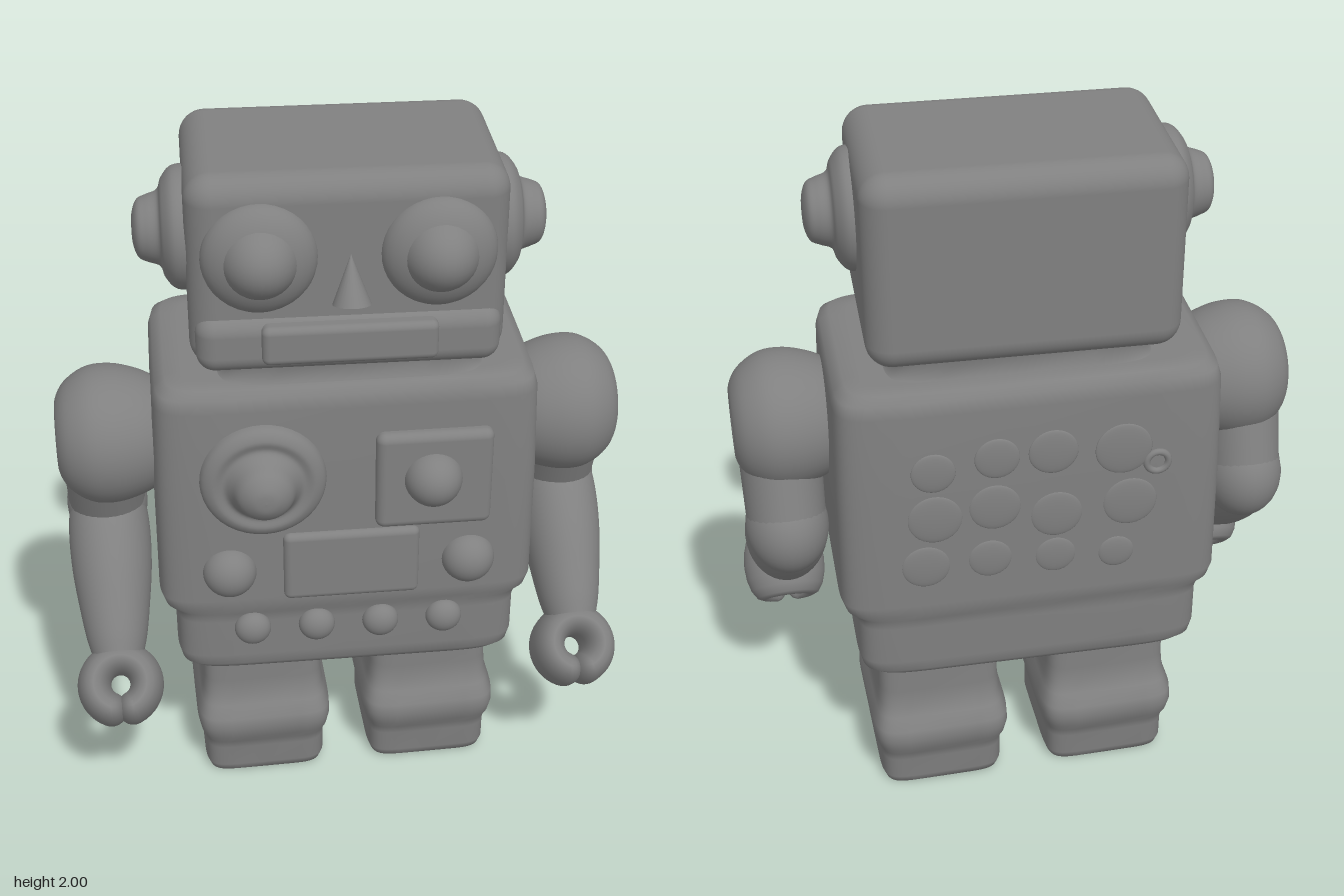
import * as THREE from 'three';
import { RoundedBoxGeometry } from 'three/addons/geometries/RoundedBoxGeometry.js';

const grey = new THREE.MeshStandardMaterial({ color: 0x808080 });
grey.name = 'grey';

function add(parent, name, geometry, x = 0, y = 0, z = 0) {
  const mesh = new THREE.Mesh(geometry, grey);
  mesh.name = name;
  mesh.position.set(x, y, z);
  parent.add(mesh);
  return mesh;
}

function group(parent, name) {
  const g = new THREE.Group();
  g.name = name;
  parent.add(g);
  return g;
}

const box = (w, h, d, r) => new RoundedBoxGeometry(w, h, d, 5, r);

// Smooth turned part; profile points are [radius, height], bottom to top
function turned(points) {
  const curve = new THREE.SplineCurve(points.map(([r, h]) => new THREE.Vector2(r, h)));
  const pts = curve.getPoints(36).map((p) => new THREE.Vector2(Math.max(p.x, 0), p.y));
  return new THREE.LatheGeometry(pts, 40);
}

// Soft-cornered loft; rings are [y, half width, half depth]
function loft(rings, power = 8) {
  const n = 64, pos = [], index = [];
  const soft = (v) => Math.sign(v) * Math.abs(v) ** (2 / power);
  rings.forEach(([y, hx, hz]) => {
    for (let j = 0; j < n; j++) {
      const a = (j / n) * Math.PI * 2;
      pos.push(hx * soft(Math.cos(a)), y, hz * soft(Math.sin(a)));
    }
  });
  for (let i = 0; i < rings.length - 1; i++) {
    for (let j = 0; j < n; j++) {
      const a = i * n + j, b = i * n + (j + 1) % n;
      index.push(a, a + n, b, b, a + n, b + n);
    }
  }
  const g = new THREE.BufferGeometry();
  g.setAttribute('position', new THREE.Float32BufferAttribute(pos, 3));
  g.setIndex(index);
  g.computeVertexNormals();
  return g;
}

// Forward-facing dome
function dome(parent, name, r, h, x, y, z) {
  const m = add(parent, name, new THREE.SphereGeometry(1, 32, 20), x, y, z);
  m.scale.set(r, r, h);
  return m;
}

function buildHead(root) {
  const head = group(root, 'head');
  head.rotation.y = -0.04;
  add(head, 'skull', box(0.83, 0.54, 0.54, 0.07), 0.01, 1.73, -0.065);
  add(head, 'jaw', box(0.8, 0.16, 0.3, 0.05), 0.01, 1.545, 0.08);
  add(head, 'mouth', box(0.46, 0.11, 0.06, 0.02), 0.01, 1.555, 0.225);
  for (const s of [-1, 1]) {
    const x = 0.01 + s * 0.23;
    dome(head, 'eyeSocket', 0.15, 0.08, x, 1.79, 0.2);
    dome(head, 'eye', 0.105, 0.13, x, 1.795, 0.2);
    const ear = add(head, 'ear', turned([[0.165, -0.03], [0.16, 0.02], [0.13, 0.048], [0.1, 0.06],
      [0.088, 0.09], [0.075, 0.115], [0.04, 0.128], [0, 0.13]]), 0.005 + s * 0.415, 1.785, -0.01);
    ear.rotation.z = -s * Math.PI / 2;
  }
  // Wedge nose, wider and deeper at the tip
  const nose = add(head, 'nose', new THREE.ConeGeometry(0.05, 0.13, 24), 0.01, 1.745, 0.25);
  nose.rotation.x = -0.25;
  nose.scale.z = 1.1;
}

function buildTorso(root) {
  const torso = group(root, 'torso');
  torso.rotation.y = -0.025;
  const body = add(torso, 'body', loft([
    [0.48, 0.001, 0.001], [0.48, 0.42, 0.25], [0.486, 0.46, 0.28], [0.505, 0.482, 0.293],
    [0.54, 0.49, 0.298], [0.66, 0.49, 0.298], [0.69, 0.498, 0.3], [0.715, 0.522, 0.312],
    [0.75, 0.533, 0.315], [1.1, 0.53, 0.314], [1.36, 0.522, 0.31], [1.395, 0.512, 0.3],
    [1.415, 0.485, 0.28], [1.42, 0.44, 0.24], [1.42, 0.001, 0.001]], 10), 0.005, 0, -0.068);
  body.name = 'body';
  add(torso, 'neck', loft([[1.38, 0.41, 0.27], [1.42, 0.36, 0.25], [1.45, 0.335, 0.235],
    [1.5, 0.36, 0.25]], 8), 0.02, 0, -0.055);

  // Chest dials
  const dial = add(torso, 'roundDial', turned([[0.175, -0.02], [0.168, 0.025], [0.14, 0.045],
    [0.11, 0.04], [0.09, 0.06], [0.07, 0.1], [0.035, 0.125], [0, 0.13]]), -0.23, 1.15, 0.235);
  dial.rotation.x = Math.PI / 2;
  add(torso, 'squareDial', box(0.32, 0.3, 0.08, 0.025), 0.235, 1.13, 0.235);
  dome(torso, 'squareDialKnob', 0.08, 0.085, 0.23, 1.14, 0.265);
  add(torso, 'chestPanel', box(0.38, 0.22, 0.06, 0.02), 0.01, 0.86, 0.235);
  for (const s of [-1, 1]) dome(torso, 'sideKnob', 0.075, 0.07, 0.005 + s * 0.335, 0.85, 0.24);
  for (let i = 0; i < 4; i++) dome(torso, 'rivet', 0.052, 0.04, -0.27 + i * 0.183, 0.64, 0.232);

  // Shallow relief on the back
  let seed = 7;
  const rand = () => (seed = (seed * 16807) % 2147483647) / 2147483647;
  for (let i = 0; i < 12; i++) {
    dome(torso, 'backBump', 0.05 + 0.03 * rand(), 0.009,
      -0.27 + (i % 4) * 0.18 + 0.05 * rand(), 0.85 + Math.floor(i / 4) * 0.16 + 0.05 * rand(), -0.381);
  }
  add(torso, 'backSocket', new THREE.TorusGeometry(0.03, 0.01, 12, 24), -0.33, 1.15, -0.38);
}

function buildArm(root, s) {
  const arm = group(root, s > 0 ? 'leftArm' : 'rightArm');
  const x = s * 0.662;
  const shoulder = add(arm, 'shoulder', turned([[0.15, 0], [0.175, 0.05], [0.193, 0.12], [0.188, 0.19],
    [0.15, 0.25], [0.1, 0.278], [0.065, 0.272], [0.04, 0.245], [0, 0.235]]), s * 0.505, 1.18, -0.01);
  shoulder.rotation.z = -s * Math.PI / 2;

  const upper = add(arm, 'upperArm', new THREE.CylinderGeometry(0.135, 0.128, 0.3, 32), x, 1.035, -0.06);
  upper.rotation.x = 0.33;
  upper.scale.x = 0.86;
  const elbow = add(arm, 'elbow', new THREE.SphereGeometry(0.138, 32, 20), x, 0.89, -0.108);
  elbow.scale.x = 0.84;

  // Forearm and claw share a frame tipped down and forward
  const lower = group(arm, 'forearmGroup');
  lower.position.set(x, 0.89, -0.108);
  lower.rotation.x = -Math.PI / 4;
  const fore = add(lower, 'forearm', turned([[0.085, -0.45], [0.1, -0.4], [0.115, -0.32],
    [0.132, -0.2], [0.135, -0.08], [0.12, 0.04]]));
  fore.scale.x = 0.86;

  const claw = group(lower, 'claw');
  claw.position.set(0, -0.535, -0.035);
  claw.scale.z = 2.25;
  const gap = 0.85;
  const ring = add(claw, 'clawRing', new THREE.TorusGeometry(0.075, 0.048, 16, 40, Math.PI * 2 - gap));
  ring.rotation.z = -Math.PI / 2 + gap / 2;
  for (const t of [-1, 1]) {
    const a = -Math.PI / 2 + t * gap / 2;
    add(claw, 'clawTip', new THREE.SphereGeometry(0.048, 20, 14),
      Math.cos(a) * 0.075, Math.sin(a) * 0.075, 0).scale.x = 0.95;
  }
}

function buildLeg(root, s) {
  // Ends in a hollow sole
  add(root, s > 0 ? 'leftLeg' : 'rightLeg', loft([
    [0.05, 0.001, 0.001], [0.045, 0.08, 0.08], [0.015, 0.12, 0.14], [0, 0.155, 0.18],
    [0.006, 0.175, 0.197], [0.03, 0.183, 0.204], [0.1, 0.183, 0.205], [0.13, 0.186, 0.213],
    [0.16, 0.195, 0.23], [0.2, 0.202, 0.24], [0.235, 0.2, 0.235], [0.27, 0.188, 0.21],
    [0.3, 0.182, 0.194], [0.35, 0.179, 0.187], [0.52, 0.178, 0.186]], 7), 0.013 + s * 0.252, 0, -0.08);
}

export function createModel() {
  const root = new THREE.Group();
  root.name = 'toyRobot';
  buildHead(root);
  buildTorso(root);
  for (const s of [-1, 1]) {
    buildArm(root, s);
    buildLeg(root, s);
  }
  return root;
}
